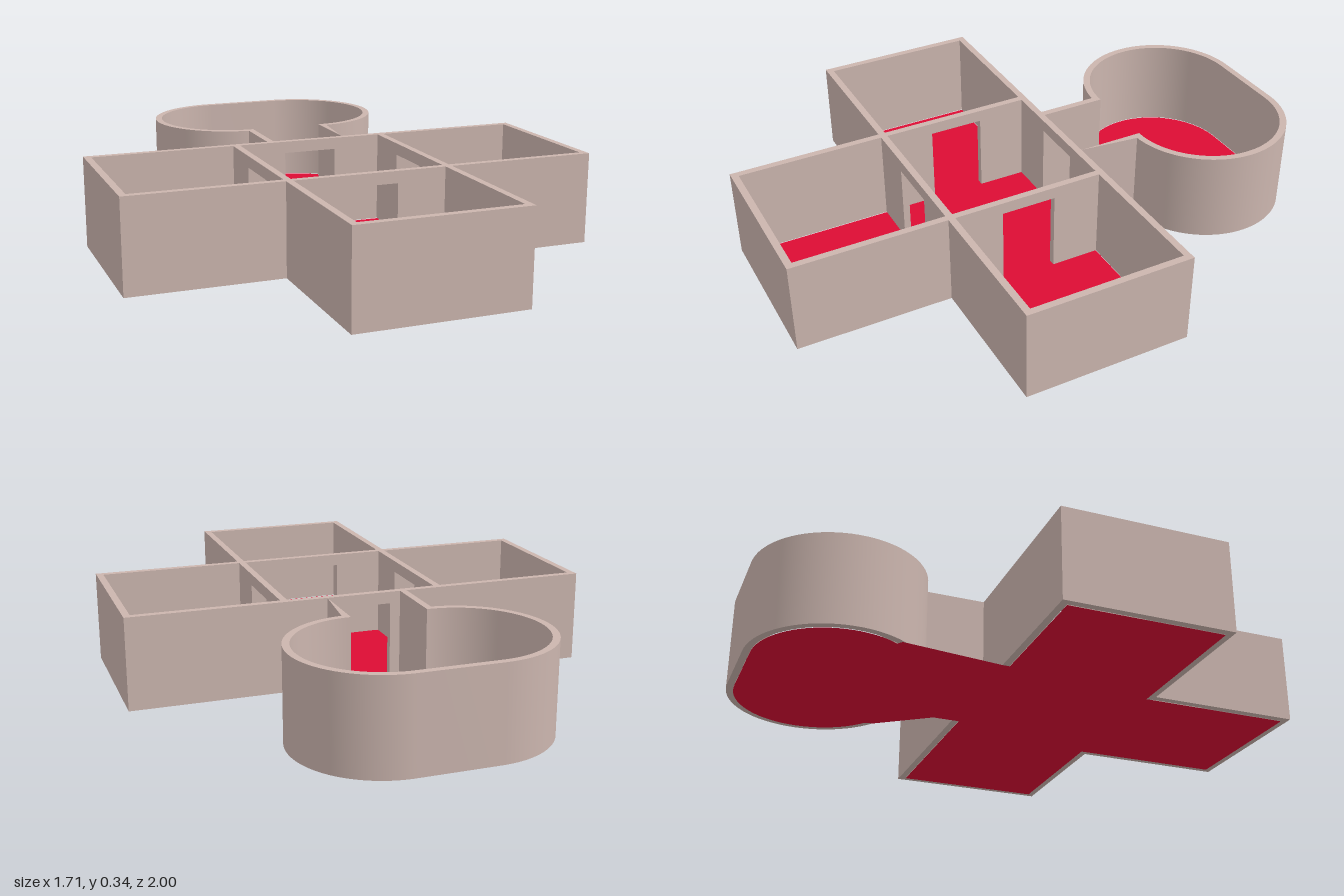
import * as THREE from 'three';
import { toCreasedNormals } from 'three/addons/utils/BufferGeometryUtils.js';

const BASE = 0.002, TOP = 0.335, T = 0.025;   // wall base, wall top, wall thickness
const DOOR_HALF = 0.1, DOOR_TOP = 0.292;
const HALF_PI = Math.PI / 2;

const shapeOf = (pts) => new THREE.Shape(pts.map(([x, y]) => new THREE.Vector2(x, y)));

export function createModel() {
  const group = new THREE.Group();
  const wallMat = new THREE.MeshStandardMaterial({ color: 0xcbb5ae });
  const floorMat = new THREE.MeshStandardMaterial({ color: 0xdc0c34, side: THREE.DoubleSide });

  const add = (name, geometry, material = wallMat) => {
    const mesh = new THREE.Mesh(geometry, material);
    mesh.name = name;
    group.add(mesh);
    return mesh;
  };

  // Raise a plan drawn as (x, -z) to full wall height
  const planWall = (name, shape) => {
    const geo = new THREE.ExtrudeGeometry(shape, { depth: TOP - BASE, bevelEnabled: false, curveSegments: 36 });
    geo.rotateX(-HALF_PI);
    geo.translate(0, BASE, 0);
    return add(name, toCreasedNormals(geo, 0.5));
  };

  // Straight partition with a doorway at its middle
  const doorWall = (name, length, x, z, turn) => {
    const h = length / 2, d = DOOR_HALF;
    const geo = new THREE.ExtrudeGeometry(shapeOf([
      [-h, BASE], [-d, BASE], [-d, DOOR_TOP], [d, DOOR_TOP], [d, BASE], [h, BASE], [h, TOP], [-h, TOP],
    ]), { depth: T, bevelEnabled: false });
    geo.translate(0, 0, -T / 2);
    const mesh = add(name, geo);
    mesh.position.set(x, 0, z);
    mesh.rotation.y = turn;
  };

  // Side rooms: three outer walls each, open towards the central room
  for (const s of [1, -1]) {
    const side = s > 0 ? 'left' : 'right';
    planWall(side + 'RoomWalls', shapeOf([
      [0.3025, -0.44], [0.8525, -0.44], [0.8525, 0.165], [0.3025, 0.165],
      [0.3025, 0.14], [0.8275, 0.14], [0.8275, -0.415], [0.3025, -0.415],
    ].map(([x, y]) => [s * x, y])));
    doorWall(side + 'DoorWall', 0.555, s * 0.29, 0.1375, HALF_PI);
  }

  // Front room
  planWall('frontRoomWalls', shapeOf([
    [-0.3025, -0.44], [-0.3025, -1], [0.3025, -1], [0.3025, -0.44],
    [0.2775, -0.44], [0.2775, -0.975], [-0.2775, -0.975], [-0.2775, -0.44],
  ]));
  doorWall('frontDoorWall', 0.605, 0, 0.4275, 0);
  doorWall('backDoorWall', 0.605, 0, -0.1525, 0);

  // Corridor opening into the rounded back room
  const cx = 0.1425, cy = 0.6925, R = 0.3075, r = R - T, a = 0.065;
  const round = new THREE.Shape();
  round.moveTo(0.1625, 0.165);
  round.absarc(cx, cy, R, -HALF_PI + a, HALF_PI, false);
  round.absarc(-cx, cy, R, HALF_PI, 3 * HALF_PI - a, false);
  round.lineTo(-0.1625, 0.165);
  round.lineTo(-0.1375, 0.165);
  round.lineTo(-0.1375, cy - r);
  round.absarc(-cx, cy, r, 3 * HALF_PI, HALF_PI, true);
  round.absarc(cx, cy, r, HALF_PI, -HALF_PI, true);
  round.lineTo(0.1375, cy - r);
  round.lineTo(0.1375, 0.165);
  planWall('corridorAndRoundRoomWalls', round);

  // One flat floor sheet, with a slanted flap on each side of the corridor
  const floor = shapeOf([
    [-0.2775, -0.975], [0.2775, -0.975], [0.2775, -0.415], [0.8275, -0.415],
    [0.8275, 0.14], [0.1625, 0.14], [0.1625, 0.24], [0.3, 0.43],
  ]);
  floor.absarc(cx, cy, r, -0.95, HALF_PI, false);
  floor.absarc(-cx, cy, r, HALF_PI, 3.7, false);
  for (const [x, y] of [[-0.4, 0.53], [-0.355, 0.165], [-0.355, 0.14], [-0.8275, 0.14],
    [-0.8275, -0.415], [-0.2775, -0.415]]) floor.lineTo(x, y);
  const floorGeo = new THREE.ShapeGeometry(floor, 36);
  floorGeo.rotateX(-HALF_PI);
  add('floor', floorGeo, floorMat);

  return group;
}
